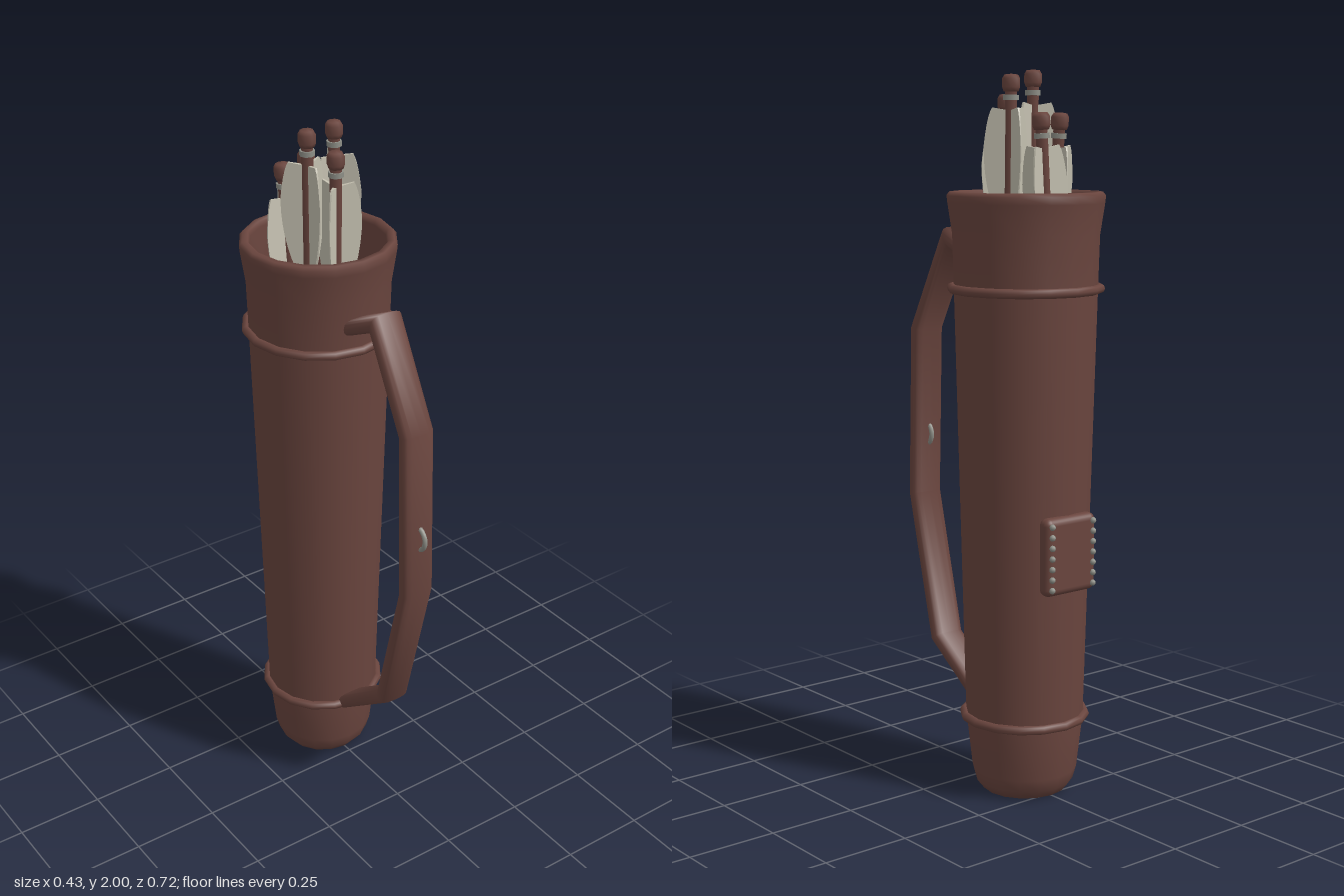
import * as THREE from 'three';
import { RoundedBoxGeometry } from 'three/addons/geometries/RoundedBoxGeometry.js';

const material = (name, color, side = THREE.FrontSide) => {
  const m = new THREE.MeshStandardMaterial({ color, side });
  m.name = name;
  return m;
};
const leather = material('brown leather', 0x6a453e);
const feather = material('pale feather', 0xc4c0b0, THREE.DoubleSide);
const metal = material('grey metal', 0x8e8f87);

const AXIS_Z = -0.145; // centre line of the quiver body

function add(parent, name, geometry, mat, x = 0, y = 0, z = 0) {
  const mesh = new THREE.Mesh(geometry, mat);
  mesh.name = name;
  mesh.position.set(x, y, z);
  parent.add(mesh);
  return mesh;
}

// Flat rounded strap swept along a mitred path of [z, y] points
function strapGeometry(path, halfWidth, halfThick) {
  const sides = 16, positions = [], index = [];
  const points = path.map(([z, y]) => new THREE.Vector2(z, y));
  const power = (v, p) => Math.sign(v) * Math.abs(v) ** p;
  points.forEach((p, i) => {
    const a = p.clone().sub(points[Math.max(i - 1, 0)]).normalize();
    const b = points[Math.min(i + 1, points.length - 1)].clone().sub(p).normalize();
    const t = a.clone().add(b).normalize();
    const stretch = 1 / Math.max(0.6, t.dot(i ? a : b));
    for (let k = 0; k < sides; k++) {
      const angle = (k / sides) * Math.PI * 2;
      const w = power(Math.cos(angle), 0.6) * halfWidth;
      const h = power(Math.sin(angle), 0.7) * halfThick * stretch;
      positions.push(w, p.y + t.x * h, p.x - t.y * h);
    }
  });
  for (let i = 0; i < points.length - 1; i++) {
    for (let k = 0; k < sides; k++) {
      const a = i * sides + k, b = i * sides + (k + 1) % sides;
      index.push(a, b, a + sides, b, b + sides, a + sides);
    }
  }
  const last = (points.length - 1) * sides;
  for (let k = 1; k < sides - 1; k++) {
    index.push(0, k + 1, k, last, last + k, last + k + 1);
  }
  const g = new THREE.BufferGeometry();
  g.setAttribute('position', new THREE.Float32BufferAttribute(positions, 3));
  g.setIndex(index);
  g.computeVertexNormals();
  return g;
}

// One feather vane, x outward from the shaft and y along it, thinning outward
function vaneGeometry() {
  const s = new THREE.Shape();
  s.moveTo(0.01, -0.095);
  s.lineTo(0.05, -0.088);
  s.quadraticCurveTo(0.064, -0.11, 0.072, -0.19);
  s.quadraticCurveTo(0.072, -0.28, 0.045, -0.36);
  s.lineTo(0.01, -0.44);
  s.closePath();
  const g = new THREE.ExtrudeGeometry(s, { depth: 0.012, bevelEnabled: false, curveSegments: 5 });
  g.translate(0, 0, -0.006);
  const p = g.attributes.position;
  for (let i = 0; i < p.count; i++) p.setZ(i, p.getZ(i) * (1 - p.getX(i) / 0.09));
  g.computeVertexNormals();
  return g;
}

// Arrow hanging down from its nock, with three vanes at the given angles
function makeArrow(tip, foot, angles, vane) {
  const arrow = new THREE.Group();
  arrow.name = 'arrow';
  const top = new THREE.Vector3(...tip), base = new THREE.Vector3(...foot);
  const length = top.distanceTo(base);
  arrow.position.copy(top);
  arrow.quaternion.setFromUnitVectors(new THREE.Vector3(0, 1, 0), top.clone().sub(base).normalize());
  add(arrow, 'shaft', new THREE.CylinderGeometry(0.016, 0.016, length - 0.04, 8), leather, 0, -length / 2 - 0.02, 0);
  const nock = [[0, -0.048], [0.02, -0.046], [0.024, -0.035], [0.024, -0.012], [0.018, -0.002], [0, 0]];
  add(arrow, 'nock', new THREE.LatheGeometry(nock.map(p => new THREE.Vector2(...p)), 8), leather);
  add(arrow, 'nockCollar', new THREE.CylinderGeometry(0.021, 0.021, 0.014, 8), metal, 0, -0.062, 0);
  for (const degrees of angles) {
    add(arrow, 'vane', vane, feather).rotation.y = -THREE.MathUtils.degToRad(degrees);
  }
  return arrow;
}

export function createModel() {
  const model = new THREE.Group();
  model.name = 'quiver';

  // Hollow tapered body with a flared rim and rounded foot
  const profile = [
    [0, 0], [0.118, 0], [0.138, 0.025], [0.148, 0.06], [0.165, 0.21], [0.197, 1.42],
    [0.201, 1.56], [0.214, 1.645], [0.216, 1.665], [0.208, 1.675], [0.192, 1.675],
    [0.187, 1.66], [0.184, 1.56], [0.181, 1.42], [0.155, 0.21], [0.135, 0.06], [0, 0.05],
  ].map(p => new THREE.Vector2(...p));
  add(model, 'body', new THREE.LatheGeometry(profile, 16), leather, 0, 0, AXIS_Z);

  // Raised bands around the body
  for (const [y, radius] of [[1.415, 0.203], [0.215, 0.17]]) {
    add(model, 'band', new THREE.TorusGeometry(radius, 0.013, 8, 16), leather, 0, y, AXIS_Z).rotation.x = Math.PI / 2;
  }

  // Carrying strap with its ring
  const path = [[0.025, 1.475], [0.16, 1.54], [0.302, 1.27], [0.315, 0.78], [0.213, 0.36], [0.015, 0.215]];
  add(model, 'strap', strapGeometry(path, 0.05, 0.022), leather);
  add(model, 'strapRing', new THREE.TorusGeometry(0.036, 0.007, 8, 20), metal, 0, 0.955, 0.316).rotation.y = Math.PI / 2;

  // Riveted patch on the back
  add(model, 'backPatch', new RoundedBoxGeometry(0.178, 0.215, 0.045, 3, 0.02), leather, 0, 0.705, -0.322);
  const rivet = new THREE.SphereGeometry(0.009, 8, 6);
  for (const side of [-1, 1]) {
    for (let i = 0; i < 7; i++) {
      add(model, 'rivet', rivet, metal, side * 0.073, 0.618 + i * 0.029, -0.345);
    }
  }

  // Arrows: nock position, foot position, vane angles
  const vane = vaneGeometry();
  const arrows = [
    [[0.055, 1.985, -0.148], [0.06, 0.12, -0.13], [-73, 45, 167]],
    [[0.005, 1.935, -0.068], [-0.01, 0.12, -0.06], [-100, 20, 138]],
    [[-0.065, 2, -0.097], [-0.06, 0.12, -0.09], [-20, 98, 218]],
    [[-0.08, 1.885, -0.193], [-0.065, 0.25, -0.05], [-75, 48, 170]],
    [[0.022, 1.885, -0.23], [-0.08, 0.25, -0.235], [-28, 78, 192]],
  ];
  for (const [tip, foot, angles] of arrows) model.add(makeArrow(tip, foot, angles, vane));

  return model;
}
